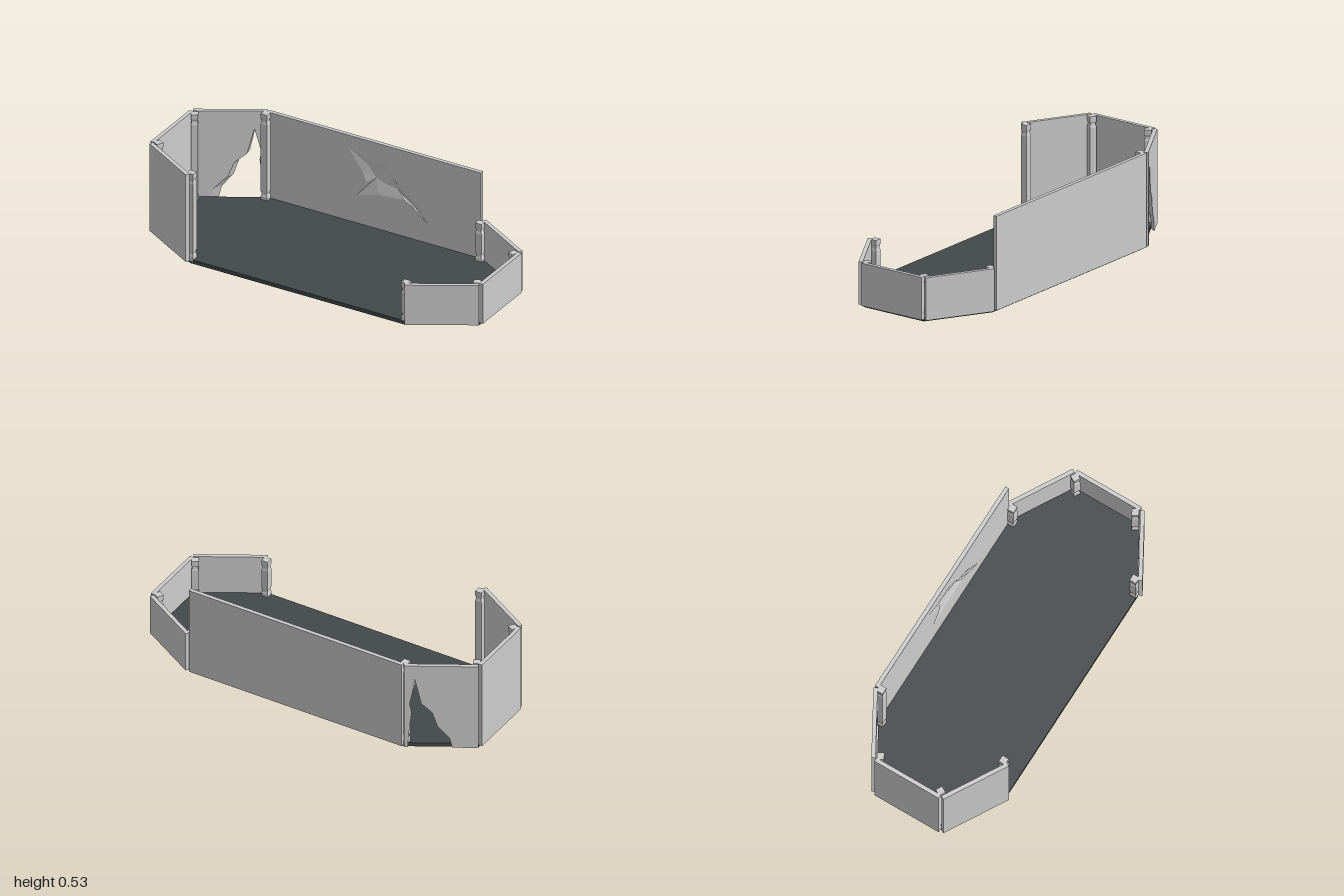
import * as THREE from 'three';

const TALL = 0.525, LOW = 0.245, BASE = 0.012, FLOOR = 0.022;
const THICK = 0.022, DIAG = 0.385;

const grey = new THREE.MeshStandardMaterial({ color: 0xcccccc, flatShading: true });
const dark = new THREE.MeshStandardMaterial({ color: 0x42484a, flatShading: true });

const toVectors = (pts) => pts.map(([x, y]) => new THREE.Vector2(x, y));

function mesh(name, geometry, material = grey) {
  const m = new THREE.Mesh(geometry, material);
  m.name = name;
  return m;
}

// Upright slab standing on the base, local +z facing outward
function panel(name, length, top, x, z, angle) {
  const geo = new THREE.BoxGeometry(length, top - BASE, THICK);
  geo.translate(0, (top - BASE) / 2, 0);
  const m = mesh(name, geo);
  m.position.set(x, BASE, z);
  m.rotation.y = angle;
  return m;
}

// Square post with a turned neck near each end
function post(top, x, z, angle) {
  const r = 0.019 * Math.SQRT2, n = r * 0.8;
  const end = [[0, 0], [r, 0], [r, 0.027], [n, 0.037], [n, 0.047], [r, 0.06]];
  const pts = [
    ...end.map(([w, d]) => [w, BASE + d]),
    ...end.map(([w, d]) => [w, top - d]).reverse(),
  ];
  const geo = new THREE.LatheGeometry(toVectors(pts), 4);
  geo.rotateY(Math.PI / 4);
  const m = mesh('post', geo);
  m.position.set(x, 0, z);
  m.rotation.y = angle;
  return m;
}

// Diagonal panel with a jagged breach, flared toward the inside
function breachedPanel(x, z, angle) {
  const h = TALL - BASE;
  const outline = [
    [0, 0], [0.022, 0], [0.022, 0.04], [0.03, 0.135], [0.04, 0.215], [0.03, 0.275],
    [0.04, 0.325], [0.056, 0.43], [0.073, 0.35], [0.09, 0.275], [0.145, 0.22],
    [0.173, 0.135], [0.235, 0.06], [0.25, 0], [DIAG, 0], [DIAG, h], [0, h],
  ];
  const geo = new THREE.ExtrudeGeometry(new THREE.Shape(toVectors(outline)), {
    depth: THICK, bevelEnabled: false,
  });
  const p = geo.attributes.position;
  for (let i = 0; i < p.count; i++) {
    const u = p.getX(i), v = p.getY(i);
    const onBreach = u > 0.001 && u < DIAG - 0.001;
    if (onBreach && p.getZ(i) < THICK / 2) {
      p.setX(i, u > 0.05 ? u * 1.18 : u * 0.9);
      p.setY(i, v * 0.95);
    }
  }
  geo.translate(-DIAG / 2, 0, -THICK / 2);
  geo.computeVertexNormals();
  const m = mesh('breachedPanel', geo);
  m.position.set(x, BASE, z);
  m.rotation.y = angle;
  return m;
}

// Long back wall with an angular dent pressed into its inner face
function backWall() {
  const wall = new THREE.Group();
  wall.name = 'backWall';
  const x0 = -0.645, x1 = 0.64, back = -0.41, front = back + THICK, skin = 0.002;

  // Rim points (x, y, index of the nearest floor point of the dent)
  const rim = [
    [-0.16, 0.455, 0], [-0.07, 0.33, 1], [-0.05, 0.28, 1], [-0.11, 0.185, 1],
    [0.03, 0.225, 2], [0.135, 0.23, 3], [0.18, 0.24, 3], [0.25, 0.19, 4],
    [0.325, 0.13, 4], [0.25, 0.245, 4], [0.13, 0.32, 3], [0.12, 0.355, 2],
    [0.06, 0.415, 1], [-0.04, 0.41, 0],
  ];
  const deep = [
    [-0.04, 0.375, 0.01], [0, 0.31, 0.018], [0.06, 0.29, 0.016],
    [0.135, 0.28, 0.014], [0.225, 0.222, 0.008],
  ].map(([x, y, d]) => [x, y, front - d]);

  const face = new THREE.Shape(toVectors([[x0, BASE], [x1, BASE], [x1, TALL], [x0, TALL]]));
  face.holes.push(new THREE.Path(toVectors(rim)));
  const slab = new THREE.ExtrudeGeometry(face, { depth: THICK - skin, bevelEnabled: false });
  slab.translate(0, 0, back + skin);
  wall.add(mesh('wallSlab', slab));

  const backing = new THREE.BoxGeometry(x1 - x0, TALL - BASE, skin);
  backing.translate((x0 + x1) / 2, (TALL + BASE) / 2, back + skin / 2);
  wall.add(mesh('wallBacking', backing));

  const tris = [];
  rim.forEach(([ax, ay, s], i) => {
    const [bx, by, t] = rim[(i + 1) % rim.length];
    const a = [ax, ay, front], b = [bx, by, front];
    tris.push(...a, ...b, ...deep[s]);
    if (s !== t) tris.push(...b, ...deep[t], ...deep[s]);
  });
  const dent = new THREE.BufferGeometry();
  dent.setAttribute('position', new THREE.Float32BufferAttribute(tris, 3));
  dent.computeVertexNormals();
  wall.add(mesh('dent', dent));
  return wall;
}

export function createModel() {
  const model = new THREE.Group();
  model.name = 'arena';

  // Elongated octagonal floor
  const plan = [
    [0.98, -0.195], [0.98, 0.195], [0.645, 0.39], [-0.645, 0.39],
    [-0.98, 0.195], [-0.98, -0.195], [-0.645, -0.39], [0.645, -0.39],
  ];
  const floor = new THREE.ExtrudeGeometry(new THREE.Shape(toVectors(plan)), {
    depth: FLOOR, bevelEnabled: false,
  });
  floor.rotateX(-Math.PI / 2);
  model.add(mesh('floor', floor, dark));

  model.add(backWall());

  // Tall end on the right, low end on the left, open front between them
  for (const sx of [-1, 1]) {
    const top = sx < 0 ? TALL : LOW;
    model.add(panel('endPanel', 0.39, top, sx * 0.989, 0, sx * Math.PI / 2));
    for (const sz of [-1, 1]) {
      const angle = Math.atan2(sx * 0.5, sz * Math.sqrt(0.75));
      const x = sx * 0.82, z = sz * 0.305;
      model.add(sx < 0 && sz < 0
        ? breachedPanel(x, z, angle)
        : panel('diagonalPanel', DIAG, top, x, z, angle));
      model.add(post(top, sx * 0.645, sz * 0.371, 0));
      model.add(post(top, sx * 0.96, sz * 0.182, angle));
    }
  }
  return model;
}
